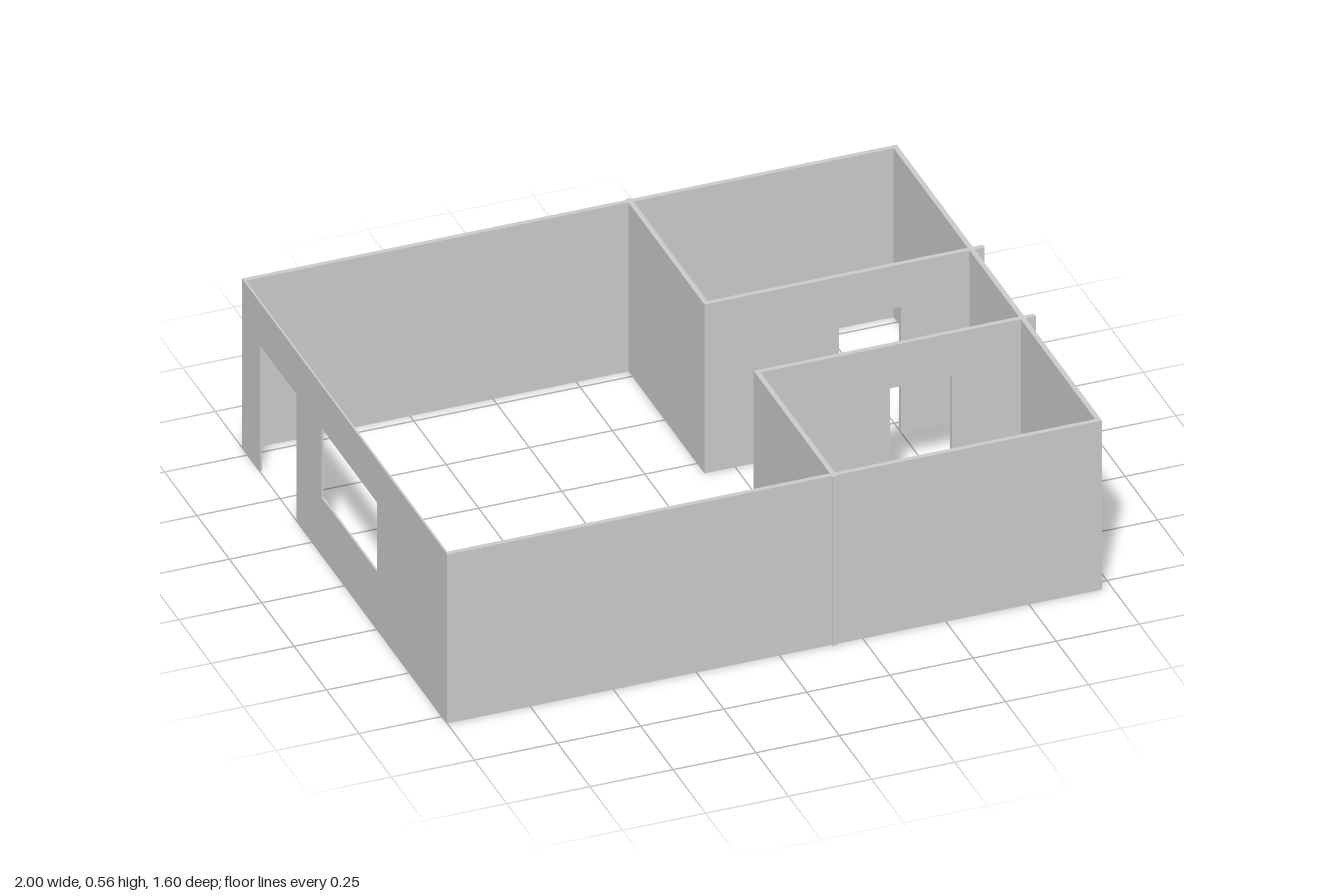
import * as THREE from 'three';

const H = 0.556;       // wall height
const T = 0.015;       // wall thickness
const HEAD = 0.416;    // top of doors and windows

const material = new THREE.MeshStandardMaterial({ color: 0xcccccc, flatShading: true });

// Upright wall running from a to b, with doors [from, to] and windows [from, to, sill]
function wallGeometry(a, b, thickness, doors = [], windows = []) {
  const shape = new THREE.Shape();
  shape.moveTo(a, 0);
  for (const [d0, d1] of doors) {
    shape.lineTo(d0, 0);
    shape.lineTo(d0, HEAD);
    shape.lineTo(d1, HEAD);
    shape.lineTo(d1, 0);
  }
  shape.lineTo(b, 0);
  shape.lineTo(b, H);
  shape.lineTo(a, H);
  shape.closePath();
  for (const [w0, w1, sill] of windows) {
    const hole = new THREE.Path();
    hole.moveTo(w0, sill);
    hole.lineTo(w0, HEAD);
    hole.lineTo(w1, HEAD);
    hole.lineTo(w1, sill);
    hole.closePath();
    shape.holes.push(hole);
  }
  return new THREE.ExtrudeGeometry(shape, { depth: thickness, bevelEnabled: false });
}

export function createModel() {
  const house = new THREE.Group();
  house.name = 'house';

  // Wall along x, its back face at z
  const wallX = (name, x0, x1, z, doors) => {
    const mesh = new THREE.Mesh(wallGeometry(x0, x1, T, doors), material);
    mesh.name = name;
    mesh.position.z = z;
    house.add(mesh);
  };

  // Wall along z, its left-hand face at x; the profile runs along -z
  const wallZ = (name, z0, z1, x, thickness, doors, windows) => {
    const mesh = new THREE.Mesh(wallGeometry(-z1, -z0, thickness, doors, windows), material);
    mesh.name = name;
    mesh.rotation.y = Math.PI / 2;
    mesh.position.x = x;
    house.add(mesh);
  };

  // Outer walls
  wallX('frontWall', -1, 0.97, 0.775);
  wallX('backWall', -1, 0.97, -0.794);
  wallZ('plainSideWall', -0.794, 0.79, 0.955, T);

  // Thin entrance wall with a window and a door
  wallZ('entranceWall', -0.794, 0.79, -1, 0.006, [[0.372, 0.655]], [[-0.25, 0.18, 0.188]]);

  // Two corner rooms, each with a door to the corridor between them
  const roomDoor = [[0.562, 0.748]];
  wallX('frontRoomWall', 0.157, 1, 0.187, roomDoor);
  wallX('backRoomWall', 0.157, 1, -0.208, roomDoor);
  wallZ('frontRoomPartition', 0.187, 0.797, 0.157, T);
  wallZ('backRoomPartition', -0.799, -0.193, 0.157, T);

  return house;
}
